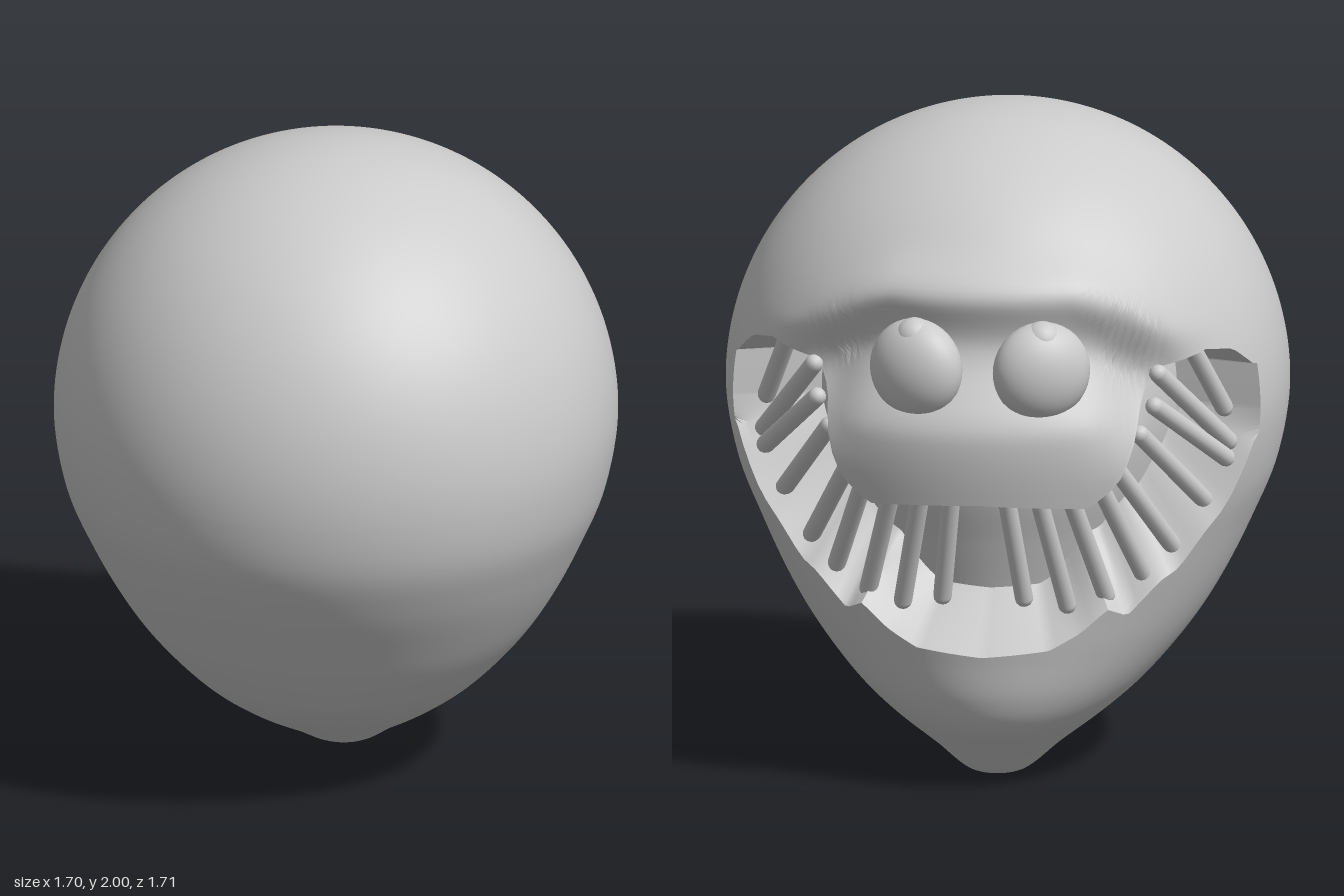
import * as THREE from 'three';
import { toCreasedNormals } from 'three/addons/utils/BufferGeometryUtils.js';

const { smoothstep, degToRad } = THREE.MathUtils;

// piecewise linear lookup in [[key, value], ...]
function lookup(table, k) {
  for (let i = 1; i < table.length; i++) {
    const [k0, v0] = table[i - 1], [k1, v1] = table[i];
    if (k <= k1) return v0 + (v1 - v0) * (k - k0) / (k1 - k0);
  }
  return table[table.length - 1][1];
}

// lip heights by azimuth in degrees away from the face direction (-z)
const UPPER_LIP = [[0, 0.96], [14, 0.95], [24, 0.94], [30, 1.01], [37, 1.22], [43, 1.34], [54, 1.38], [62, 1.36], [69, 1.29], [180, 1.29]];
const LOWER_LIP = [[0, 0.45], [20, 0.47], [28, 0.52], [34, 0.59], [41, 0.56], [48, 0.66], [53, 0.69], [58, 0.8], [62, 0.86], [69, 1.07], [180, 1.07]];
const MOUTH_CORNER = 69;

// head sections: height, half width, z at the smooth side, z at the face side
const SECTIONS = [
  [0, 0, -0.26, -0.26], [0.012, 0.09, -0.16, -0.36], [0.1, 0.2, 0.03, -0.48], [0.2, 0.335, 0.24, -0.595],
  [0.3, 0.45, 0.39, -0.65], [0.44, 0.57, 0.52, -0.68], [0.58, 0.66, 0.622, -0.71], [0.75, 0.744, 0.735, -0.76],
  [0.93, 0.816, 0.82, -0.815],
];
// domed top; the last section lies past the pole so the crown stays round
for (let a = 0; a <= 105; a += 15) {
  const r = 0.85 * Math.cos(degToRad(a));
  SECTIONS.push([1.15 + 0.85 * Math.sin(degToRad(a)), r, r, -r]);
}
const CROWN = (SECTIONS.length - 2) / (SECTIONS.length - 1);

// hollows around the eyes and beside the snout, under a slightly raised brow
function faceInset(phi, y) {
  const brow = 1.57 - 0.13 * smoothstep(phi, 20, 50);
  const under = 1 - smoothstep(y, brow - 0.16, brow + 0.02);
  const socket = 0.08 * smoothstep(y, 1.16, 1.4) * (1 - smoothstep(phi, 20, 46));
  const cheek = 0.085 * smoothstep(y, 1.02, 1.32) * Math.exp(-(((phi - 39) / 11) ** 2));
  const ridge = 0.03 * Math.exp(-(((y - brow - 0.04) / 0.07) ** 2)) * (1 - smoothstep(phi, 20, 50));
  return under * (socket + cheek) - ridge;
}

// skin grid whose rows follow both lips, with the mouth pushed inward
function headGeometry() {
  const lower = 56, mouth = 44, upper = 70, rows = lower + mouth + upper, cols = 200;
  const curve = (pick) => new THREE.CatmullRomCurve3(SECTIONS.map(pick), false, 'catmullrom', 0.5);
  const sides = curve(([y, w, f]) => new THREE.Vector3(w, y, f));
  const face = curve(([y, , , b]) => new THREE.Vector3(0, y, b));
  const heightToT = [];
  for (let i = 0; i <= 300; i++) heightToT.push([sides.getPoint(CROWN * i / 300).y, CROWN * i / 300]);

  const pos = [], index = [];
  for (let j = 0; j < cols; j++) {
    const a = (j / cols) * Math.PI * 2, phi = Math.abs(180 - (j / cols) * 360);
    const tLow = lookup(heightToT, lookup(LOWER_LIP, phi));
    const tUp = lookup(heightToT, lookup(UPPER_LIP, phi));
    for (let i = 0; i <= rows; i++) {
      const t = i <= lower ? tLow * i / lower
        : i <= lower + mouth ? tLow + (tUp - tLow) * (i - lower) / mouth
          : tUp + (CROWN - tUp) * (i - lower - mouth) / upper;
      const s = sides.getPoint(t), b = face.getPoint(t).z;
      const x = s.x * Math.sin(a), z = (s.z + b) / 2 + (s.z - b) / 2 * Math.cos(a);
      let inset = faceInset(phi, s.y);
      // the floor of the mouth slopes in from the lower lip, the roof is cut straight
      if (phi < MOUTH_CORNER && i > lower && i < lower + mouth) {
        inset += 0.27 * Math.min(1, (i - lower) / (0.36 * mouth));
      }
      const k = Math.max(0, 1 - inset / (Math.hypot(x, z) || 1));
      pos.push(x * k, s.y, z * k);
    }
  }
  const n = rows + 1;
  for (let j = 0; j < cols; j++) {
    for (let i = 0; i < rows; i++) {
      const p = j * n + i, q = ((j + 1) % cols) * n + i;
      index.push(p, q, q + 1, p, q + 1, p + 1);
    }
  }
  const g = new THREE.BufferGeometry();
  g.setAttribute('position', new THREE.Float32BufferAttribute(pos, 3));
  g.setIndex(index);
  return toCreasedNormals(g, 0.9);
}

// point just inside the skin at an azimuth and height
function gumPoint(phi, y, side) {
  const r = 0.765 - Math.max(0, 1 - y) * 0.32, a = degToRad(phi);
  return new THREE.Vector3(side * r * Math.sin(a), y, -r * Math.cos(a));
}

// teeth: top azimuth, top height, bottom azimuth, bottom height
const TEETH = [
  [52, 1.4, 65, 1.16], [43, 1.32, 67, 1.05], [42, 1.22, 66, 1.0], [38, 1.14, 61, 0.88],
  [31, 1.06, 53, 0.75], [27, 1.02, 45, 0.67], [20, 1.0, 34, 0.62], [13, 1.0, 23, 0.6],
  [6, 1.0, 11, 0.63],
];

export function createModel() {
  const model = new THREE.Group();
  const material = new THREE.MeshStandardMaterial({ color: 0xcccccc, side: THREE.DoubleSide });
  const add = (parent, geometry, name) => {
    const mesh = new THREE.Mesh(geometry, material);
    mesh.name = name;
    parent.add(mesh);
    return mesh;
  };

  add(model, headGeometry(), 'head');

  const teeth = new THREE.Group();
  teeth.name = 'teeth';
  model.add(teeth);
  const up = new THREE.Vector3(0, 1, 0);

  for (const side of [1, -1]) {
    const label = side > 0 ? 'left' : 'right';

    // bulging eye turned outward, with a small raised cap
    const eye = new THREE.Group();
    eye.name = label + 'Eye';
    eye.position.set(side * 0.19, 1.365, -0.75);
    eye.rotation.y = -side * 0.4;
    add(eye, new THREE.SphereGeometry(1, 32, 20), label + 'Eyeball').scale.set(0.15, 0.152, 0.1);
    add(eye, new THREE.SphereGeometry(0.06, 20, 14), label + 'EyeCap').position.set(0, 0.098, -0.01);
    model.add(eye);

    // thin slanted rods with rounded ends across the mouth
    for (const [p0, y0, p1, y1] of TEETH) {
      const top = gumPoint(p0, y0, side), bottom = gumPoint(p1, y1, side);
      const axis = top.clone().sub(bottom);
      const tooth = add(teeth, new THREE.CapsuleGeometry(0.028, axis.length(), 4, 14), label + 'Tooth');
      tooth.position.copy(top).add(bottom).multiplyScalar(0.5);
      tooth.quaternion.setFromUnitVectors(up, axis.normalize());
    }
  }
  return model;
}
